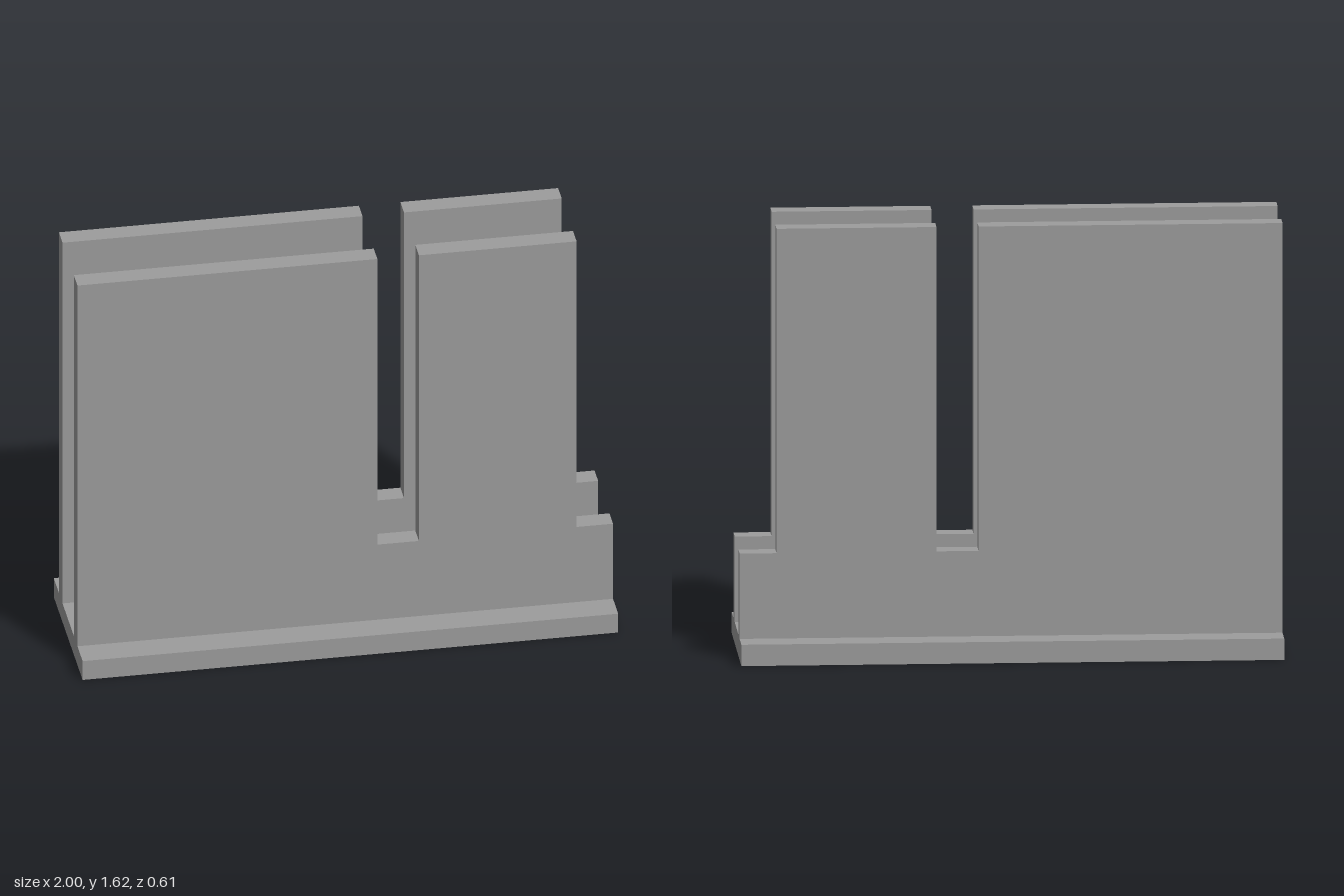
import * as THREE from 'three';

const mat = new THREE.MeshStandardMaterial({ color: 0x9c9c9c, side: THREE.DoubleSide, flatShading: true });
const BASE_H = 0.08, BASE_Z = 0.307, IN_Z = 0.12, OUT_Z = 0.197;

function add(parent, name, geometry) {
  const mesh = new THREE.Mesh(geometry, mat);
  mesh.name = name;
  parent.add(mesh);
  return mesh;
}

// Strip that follows an open outline in xy and spans z from 0 to depth
function ribbon(points, depth) {
  const pos = [];
  for (let i = 0; i < points.length - 1; i++) {
    const [px, py] = points[i], [qx, qy] = points[i + 1];
    pos.push(px, py, 0, px, py, depth, qx, qy, depth);
    pos.push(px, py, 0, qx, qy, depth, qx, qy, 0);
  }
  const g = new THREE.BufferGeometry();
  g.setAttribute('position', new THREE.Float32BufferAttribute(pos, 3));
  g.computeVertexNormals();
  return g;
}

// Hollow upright panel, open at the bottom into the base
function makePanel(name, z) {
  const panel = new THREE.Group();
  panel.name = name;
  const outline = [
    [-1, BASE_H], [-1, 1.617], [0.12, 1.617], [0.12, 0.4], [0.275, 0.4],
    [0.275, 1.617], [0.864, 1.617], [0.864, 0.4], [1, 0.4], [1, BASE_H],
  ];
  const depth = OUT_Z - IN_Z;
  const face = new THREE.ShapeGeometry(new THREE.Shape(outline.map(p => new THREE.Vector2(...p))));
  add(panel, 'panelFront', face).position.z = depth;
  // back face: same outline with reversed winding
  const back = face.clone();
  back.setIndex(Array.from(face.index.array).reverse());
  back.computeVertexNormals();
  add(panel, 'panelBack', back);
  add(panel, 'panelEdge', ribbon(outline, depth));
  panel.position.z = z;
  return panel;
}

export function createModel() {
  const model = new THREE.Group();
  model.name = 'slottedPanelStand';

  // Base rim: four walls, open above and below
  const rim = new THREE.BoxGeometry(2, BASE_H, BASE_Z * 2);
  rim.setIndex(Array.from(rim.index.array).filter((_, i) => i < 12 || i >= 24));
  rim.clearGroups();
  add(model, 'baseRim', rim).position.y = BASE_H / 2;

  // Base top: strips either side of the panel slots
  for (const [name, z0, z1] of [
    ['backLedge', -BASE_Z, -OUT_Z], ['channelFloor', -IN_Z, IN_Z], ['frontLedge', OUT_Z, BASE_Z],
  ]) {
    const strip = new THREE.PlaneGeometry(2, z1 - z0).rotateX(-Math.PI / 2);
    add(model, name, strip).position.set(0, BASE_H, (z0 + z1) / 2);
  }

  model.add(makePanel('frontPanel', IN_Z), makePanel('backPanel', -OUT_Z));
  return model;
}
